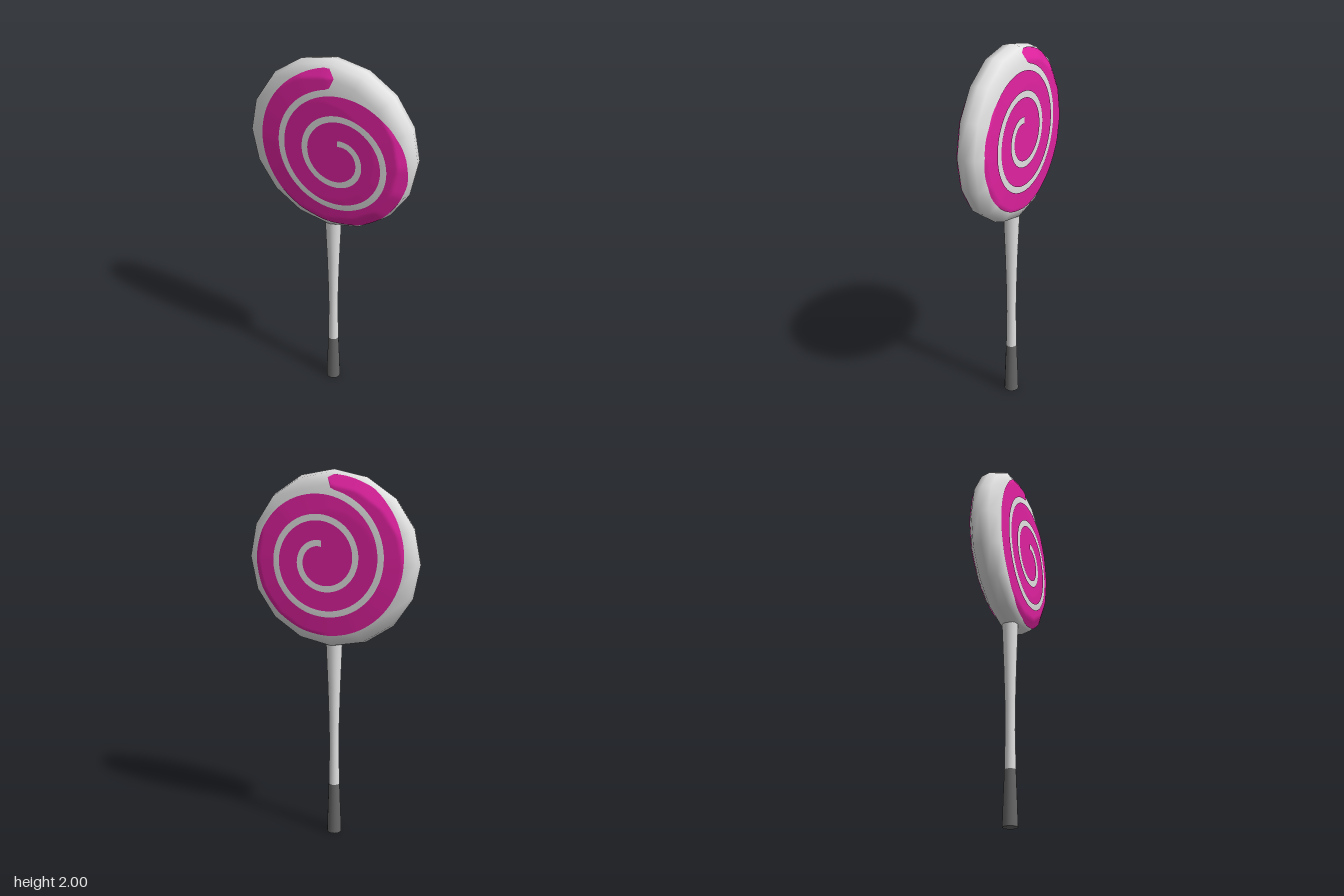
import * as THREE from 'three';

const SIDES = 16;
const CENTRE_Y = 1.54;
// Half of the candy's outline: [radius, half thickness]
const RIM = [[0, 0.089], [0.27, 0.089], [0.39, 0.08], [0.448, 0.048], [0.46, 0]];

// Half thickness of the faceted candy at a point on its face
function candyHeight(x, y) {
  const step = (2 * Math.PI) / SIDES;
  const a = Math.atan2(y, x);
  const off = a - (Math.floor(a / step) + 0.5) * step;
  const r = (Math.hypot(x, y) * Math.cos(off)) / Math.cos(step / 2);
  for (let i = 1; i < RIM.length; i++) {
    const [r0, z0] = RIM[i - 1], [r1, z1] = RIM[i];
    if (r <= r1) return z0 + ((z1 - z0) * (r - r0)) / (r1 - r0);
  }
  return 0;
}

// Thin spiral ribbon laid over one face; t counts turns clockwise from the top
function spiralRibbon(side, cx, cy, t0, t1, inner, outer) {
  const rows = Math.round((t1 - t0) * 96), cols = 10;
  const pos = [], index = [];
  for (let i = 0; i <= rows; i++) {
    const t = t0 + ((t1 - t0) * i) / rows;
    const a = Math.PI / 2 - t * 2 * Math.PI;
    for (let j = 0; j <= cols; j++) {
      const r = THREE.MathUtils.lerp(inner(t), outer(t), j / cols);
      let x = cx + r * Math.cos(a), y = cy + r * Math.sin(a);
      const k = Math.min(1, 0.44 / Math.hypot(x, y));
      x *= k;
      y *= k;
      pos.push(x, y, side * (candyHeight(x, y) + 0.004));
      if (i < rows && j < cols) {
        const p = i * (cols + 1) + j, q = p + cols + 1;
        if (side > 0) index.push(p, p + 1, q, p + 1, q + 1, q);
        else index.push(p, q, p + 1, p + 1, q, q + 1);
      }
    }
  }
  const geo = new THREE.BufferGeometry();
  geo.setAttribute('position', new THREE.Float32BufferAttribute(pos, 3));
  geo.setIndex(index);
  geo.computeVertexNormals();
  return geo;
}

export function createModel() {
  const white = new THREE.MeshStandardMaterial({ name: 'white', color: 0xe2e2e2 });
  const pink = new THREE.MeshStandardMaterial({ name: 'pink', color: 0xe0229f, side: THREE.DoubleSide });
  const grey = new THREE.MeshStandardMaterial({ name: 'darkGrey', color: 0x676767 });

  const model = new THREE.Group();
  model.name = 'lollipop';
  const add = (parent, name, geo, mat) => {
    const mesh = new THREE.Mesh(geo, mat);
    mesh.name = name;
    parent.add(mesh);
    return mesh;
  };
  const lathe = (pts, sides) => new THREE.LatheGeometry(pts.map(([x, y]) => new THREE.Vector2(x, y)), sides);

  // Round candy, turned so its faces look along z
  const head = new THREE.Group();
  head.name = 'head';
  head.position.y = CENTRE_Y;
  model.add(head);
  const profile = [...RIM.map(([r, z]) => [r, -z]), ...RIM.slice(0, -1).reverse()];
  add(head, 'candy', lathe(profile, SIDES).rotateX(Math.PI / 2), white);

  // Spiral on both faces: a filled heart, then a band with a rounded end
  const pitch = 0.1325, start = 0.066, half = 0.05, end = 2.99;
  const mid = (t) => start + pitch * t - half;
  const cap = (t) => {
    const s = Math.max(0, half - (end - t) * 2 * Math.PI * mid(end));
    return Math.sqrt(Math.max(0, half * half - s * s));
  };
  for (const [side, name, cx, cy] of [[1, 'front', 0.069, -0.021], [-1, 'back', 0.037, 0.012]]) {
    add(head, name + 'SpiralHeart',
      spiralRibbon(side, cx, cy, 0, 1, () => 0, (t) => mid(t) + half), pink);
    add(head, name + 'SpiralBand',
      spiralRibbon(side, cx, cy, 1, end, (t) => mid(t) - cap(t), (t) => mid(t) + cap(t)), pink);
  }

  // Stick flaring towards the candy, and dark grip at its foot
  add(model, 'stick', lathe([[0.03, 0.29], [0.026, 0.5], [0.028, 0.65], [0.034, 0.85], [0.045, 1.12]], 14), white);
  add(model, 'grip', lathe([[0.04, 0], [0.037, 0.1], [0.03, 0.29]], 14), grey);
  const foot = add(model, 'gripEnd', new THREE.CircleGeometry(0.04, 14), grey);
  foot.rotation.x = Math.PI / 2;
  return model;
}
